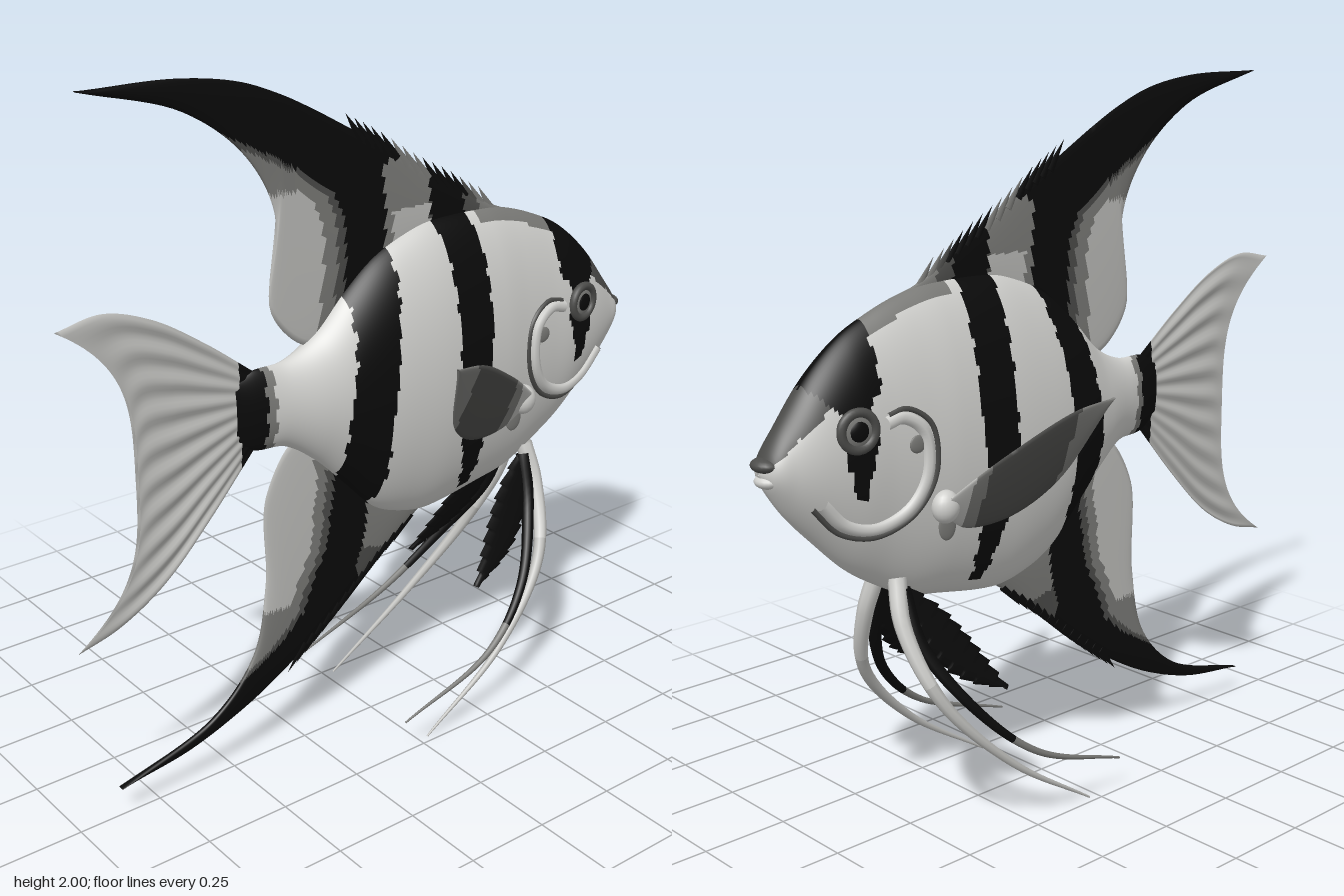
import * as THREE from 'three';

const V = (x, y, z = 0) => new THREE.Vector3(x, y, z);
const spline = pts => new THREE.CatmullRomCurve3(pts.map(p => V(...p)));
const palette = { paleSilver: 0xd0d0cd, black: 0x0a0a0a, darkGrey: 0x4c4c4a, midGrey: 0x7a7a77, finGrey: 0xbcbcb9 };
const mats = Object.entries(palette).map(([name, color]) => {
  const m = new THREE.MeshStandardMaterial({ color, side: THREE.DoubleSide });
  m.name = name;
  return m;
});
const PALE = 0, BLACK = 1, DARK = 2, MID = 3, FIN = 4;

// Smooth (or linear) lookup of column k in a table sorted by its first column
function at(t, x, k = 1, smooth = false) {
  const n = t.length;
  if (x <= t[0][0]) return t[0][k];
  if (x >= t[n - 1][0]) return t[n - 1][k];
  let i = 0;
  while (x > t[i + 1][0]) i++;
  const d = t[i + 1][0] - t[i][0], s = (x - t[i][0]) / d;
  if (!smooth) return t[i][k] + (t[i + 1][k] - t[i][k]) * s;
  const slope = j => {
    const a = t[Math.max(j - 1, 0)], b = t[Math.min(j + 1, n - 1)];
    return (b[k] - a[k]) / (b[0] - a[0]) * d;
  };
  const s2 = s * s, s3 = s2 * s;
  return (2 * s3 - 3 * s2 + 1) * t[i][k] + (s3 - 2 * s2 + s) * slope(i) + (3 * s2 - 2 * s3) * t[i + 1][k] + (s3 - s2) * slope(i + 1);
}

// Body stations: x, top, bottom, half width
const stations = [
  [-.46, 1.17, 1.0, .012], [-.4, 1.195, .965, .03], [-.3, 1.2, .95, .055], [-.2, 1.25, .88, .088],
  [-.1, 1.35, .78, .115], [0, 1.43, .68, .132], [.1, 1.475, .635, .14], [.2, 1.5, .62, .142],
  [.4, 1.5, .65, .135], [.5, 1.48, .67, .125], [.6, 1.445, .72, .117], [.7, 1.395, .785, .112],
  [.8, 1.31, .88, .095], [.88, 1.21, .965, .07], [.93, 1.14, 1.04, .045], [.95, 1.095, 1.085, .004]];
const station = x => [1, 2, 3].map(k => at(stations, x, k, true));
function bodyZ(x, y) {
  const [t, b, w] = station(x), q = (2 * y - t - b) / (t - b);
  return w * Math.pow(Math.max(0, 1 - q * q), .6);
}

// Stripe edges as x for each y
const mainBack = [[.22, -.9], [.25, -.5], [.35, -.33], [.42, -.25], [.5, -.22], [.6, -.17], [.8, -.14], [1, -.15], [1.2, -.12],
  [1.44, -.09], [1.55, -.095], [1.62, -.12], [1.71, -.23], [1.84, -.47], [1.88, -.9]];
const mainFront = [[.42, 1], [.45, -.04], [.5, -.06], [.6, -.03], [.8, -.015], [1, -.02], [1.2, .01], [1.4, .04], [1.55, .045], [1.67, .035], [1.73, .1]];
const midBack = [[.68, .28], [.8, .25], [1, .21], [1.2, .22], [1.4, .21], [1.6, .2]];
const midFront = [[.68, .32], [.8, .33], [1, .32], [1.2, .345], [1.4, .335], [1.6, .32]];
const inMain = (x, y) => x > at(mainBack, y) && x < at(mainFront, y);
const inMid = (x, y) => y > .68 && x > at(midBack, y) && x < at(midFront, y);

function paintBody(x0, y) {
  const x = x0 + .004 * Math.sin(y * 90), top = at(stations, x, 1, true);
  if (inMain(x, y) || inMid(x, y) || x < -.375) return BLACK;
  if (x < -.35) return MID;
  if (y > 1.2 && x > at([[1.2, .69], [1.28, .635]], y) && x < at([[1.2, .74], [1.3, .84]], y)) return BLACK;
  if (y > 1.0 && y < 1.15 && Math.abs(x - .715) < .015 + .25 * (y - 1)) return BLACK;
  if (x > .77 && y > 1.22 - (x - .8) * .8) return DARK;
  if (x > .36 && x < .65 && y > top - .035) return MID;
  return PALE;
}
function paintDorsal(x, y) {
  if (inMain(x, y) || inMid(x, y)) return BLACK;
  const edge = at(mainBack, y);
  if (x < edge) return x > edge - .03 ? DARK : (y > 1.66 || x > edge - .075) ? MID : FIN;
  if (x < .2) return x > .07 && y < 1.55 ? FIN : MID;
  return x < .38 ? DARK : MID;
}
function paintAnal(x, y) {
  if (inMain(x, y)) return BLACK;
  const edge = at(mainBack, y);
  if (x < edge) return x > edge - .025 ? DARK : (y < .46 || x > edge - .06) ? MID : FIN;
  return y < .55 - .25 * x ? DARK : MID;
}

// Closed surface f(u, v), wrapped in v, with faces grouped by paint colour
function loft(name, f, nu, nv, paint) {
  const pts = [], buckets = mats.map(() => []);
  for (let i = 0; i <= nu; i++) for (let j = 0; j < nv; j++) pts.push(f(i / nu, j / nv));
  for (let i = 0; i < nu; i++) for (let j = 0; j < nv; j++) {
    const a = i * nv + j, b = i * nv + (j + 1) % nv, c = a + nv, d = b + nv;
    const m = pts[a].clone().add(pts[d]).multiplyScalar(.5);
    buckets[paint(m.x, m.y)].push(a, b, c, b, d, c);
  }
  const g = new THREE.BufferGeometry().setFromPoints(pts);
  g.setIndex(buckets.flat());
  let start = 0;
  buckets.forEach((b, k) => { if (b.length) g.addGroup(start, b.length, k); start += b.length; });
  g.computeVertexNormals();
  const mesh = new THREE.Mesh(g, mats);
  mesh.name = name;
  return mesh;
}

// Thin fin blade stretched between two edge curves
function blade(name, A, B, side, paint, thick = .01, warp = () => {}, nu = 90, nv = 68) {
  const a = spline(A), b = spline(B);
  return loft(name, (u, v) => {
    const w = v < .5 ? 2 * v : 2 - 2 * v;
    const p = a.getPoint(u).lerp(b.getPoint(u), w);
    warp(p, u, w);
    p.z += side * (v < .5 ? 1 : -1) * thick * Math.sqrt(Math.max(0, Math.sin(Math.PI * w)));
    return p;
  }, nu, nv, paint);
}

function part(name, geo, mat, pos, scale = [1, 1, 1]) {
  const m = new THREE.Mesh(geo, mats[mat]);
  m.name = name;
  m.position.set(...pos);
  m.scale.set(...scale);
  return m;
}

// Tapered tube, first colour up to the split fraction and second beyond it
function strand(name, pts, r, r1, c0, c1, split) {
  const curve = spline(pts), n = 40, k = 8, g = new THREE.TubeGeometry(curve, n, r, k), p = g.attributes.position;
  for (let i = 0; i < p.count; i++) {
    const t = Math.floor(i / (k + 1)) / n, c = curve.getPointAt(t);
    const q = V(0, 0).fromBufferAttribute(p, i).sub(c).multiplyScalar(1 + (r1 / r - 1) * t).add(c);
    p.setXYZ(i, q.x, q.y, q.z);
  }
  const cut = Math.round(n * split) * k * 6;
  g.clearGroups();
  g.addGroup(0, cut, c0);
  g.addGroup(cut, n * k * 6 - cut, c1);
  const m = new THREE.Mesh(g, mats);
  m.name = name;
  return m;
}

// Row of spines along a fin edge
function spines(name, edge, from, to, count, dir, paint) {
  const g = new THREE.Group(), c = spline(edge), cone = new THREE.ConeGeometry(.016, .1, 8);
  g.name = name;
  for (let i = 0; i < count; i++) {
    const p = c.getPoint(from + (to - from) * i / (count - 1));
    const s = part('spine', cone, paint(p.x, p.y), [p.x + dir[0] * .015, p.y + dir[1] * .015, 0], [1, 1, .4]);
    s.rotation.z = Math.atan2(-dir[0], dir[1]);
    g.add(s);
  }
  return g;
}

// Paired parts on the +z flank
function flank(name) {
  const g = new THREE.Group();
  g.name = name;
  const on = (x, y, lift = 0) => [x, y, bodyZ(x, y) + lift];

  const eye = new THREE.Group();
  eye.name = 'eye';
  eye.position.set(...on(.72, 1.175, -.004));
  eye.rotation.y = .15;
  const ball = new THREE.SphereGeometry(1, 20, 12);
  eye.add(part('eyeRing', new THREE.TorusGeometry(.048, .013, 10, 32), DARK, [0, 0, .004]),
    part('iris', ball, MID, [0, 0, 0], [.046, .046, .014]),
    part('pupil', ball, BLACK, [0, 0, .004], [.031, .031, .014]));
  g.add(eye);

  // Gill cover: pale ridge with a dark seam behind it
  const gill = [[.63, 1.2], [.57, 1.21], [.5, 1.16], [.49, 1.03], [.55, .93], [.66, .885], [.76, .91], [.84, .99]];
  const seam = new THREE.TubeGeometry(spline(gill.map(p => on(...p))), 60, .008, 6);
  const ridge = new THREE.TubeGeometry(spline(gill.map(([x, y]) => on(x + (.67 - x) * .14, y + (1.06 - y) * .14, -.004))), 60, .019, 8);
  g.add(part('gillSeam', seam, DARK, [0, 0, 0]), part('gillRidge', ridge, PALE, [0, 0, 0]));
  g.add(part('cheekSpot', ball, MID, on(.545, 1.115), [.027, .024, .006]),
    part('flankSpot', ball, MID, on(.445, .875), [.03, .04, .006]),
    part('pectoralBase', ball, PALE, on(.465, .935, .01), [.04, .045, .035]));

  g.add(blade('pectoralFin', [[.47, .965], [.4, 1.02], [.32, 1.075], [.16, 1.165], [.04, 1.19]],
    [[.47, .91], [.39, .86], [.25, .87], [.13, .96], [.042, 1.185]], -1,
    x => x < .14 ? MID : x < .37 ? DARK : x < .41 ? MID : FIN, .006,
    p => { p.z = .12 + (p.y - .87) * .44 + (.45 - p.x) * .15; }, 40, 32));

  g.add(blade('pelvicFin', [[.53, .71], [.44, .63], [.38, .55], [.33, .47], [.28, .385]],
    [[.56, .68], [.54, .58], [.48, .49], [.4, .43], [.283, .383]], -1, () => BLACK, .008,
    (p, u, w) => {
      p.x -= .018 * ((u * 9) % 1) * Math.abs(2 * w - 1);
      p.z = .05 + (.7 - p.y) * .33;
    }, 54, 16));
  g.add(strand('longPelvicRay', [[.56, .74, .04], [.575, .62, .08], [.52, .42, .165], [.32, .2, .22], [.03, .003, .23]], .026, .003, PALE, FIN, .3));
  g.add(strand('shortPelvicRay', [[.55, .71, .05], [.53, .56, .1], [.42, .37, .2], [.25, .22, .25], [-.07, .1, .25]], .022, .003, BLACK, MID, .55));
  return g;
}

export function createModel() {
  const fish = new THREE.Group();
  fish.name = 'angelfish';

  fish.add(loft('body', (u, v) => {
    const x = -.46 + 1.41 * u, [t, b, w] = station(x), s = Math.sin(2 * Math.PI * v);
    return V(x, (t + b) / 2 + (t - b) / 2 * Math.cos(2 * Math.PI * v), w * Math.sign(s) * Math.pow(Math.abs(s), 1.2));
  }, 160, 96, paintBody));

  // Lips
  const lip = new THREE.SphereGeometry(1, 20, 12);
  fish.add(part('upperLip', lip, DARK, [.928, 1.108, 0], [.036, .02, .042]), part('lowerLip', lip, PALE, [.92, 1.066, 0], [.036, .02, .038]));

  // Dorsal fin
  const dorsal = [[.6, 1.44], [.42, 1.51], [.3, 1.58], [.18, 1.645], [.05, 1.73], [-.05, 1.785], [-.2, 1.87], [-.3, 1.92], [-.42, 1.965], [-.6, 1.995], [-.87, 2]];
  fish.add(blade('dorsalFin', dorsal, [[.58, 1.4], [.4, 1.46], [.25, 1.45], [.1, 1.42], [-.05, 1.35], [-.2, 1.22],
    [-.335, 1.34], [-.315, 1.6], [-.4, 1.77], [-.58, 1.91], [-.87, 1.998]], -1, paintDorsal));
  fish.add(spines('dorsalSpines', dorsal, .1, .5, 15, [-.55, .83], paintDorsal));

  // Anal fin
  const anal = [[.18, .62], [.05, .53], [-.07, .43], [-.2, .33], [-.33, .245], [-.47, .175], [-.65, .115], [-.87, .085]];
  fish.add(blade('analFin', anal, [[.15, .68], [-.02, .76], [-.25, .965], [-.365, .82], [-.375, .55], [-.42, .34], [-.56, .19], [-.87, .087]], 1, paintAnal));
  fish.add(spines('analSpines', anal, .06, .5, 14, [-.65, -.76], () => BLACK));

  // Tail fan with fine ripples and a hollow rear edge
  fish.add(blade('tailFin', [[-.4, 1.195], [-.55, 1.31], [-.7, 1.405], [-.84, 1.45], [-.97, 1.43]],
    [[-.4, .97], [-.55, .8], [-.7, .655], [-.84, .575], [-.97, .54]], -1, x => x > -.445 ? BLACK : FIN, .008,
    (p, u, w) => {
      p.x += .205 * u * u * (1 - Math.pow(Math.abs(2 * w - 1), 3.5));
      p.z += .022 * u * (1 - u) * Math.sin(w * 60);
    }, 40, 128));

  const left = flank('nearFlank'), right = flank('farFlank');
  right.scale.z = -1;
  fish.add(left, right);
  return fish;
}
